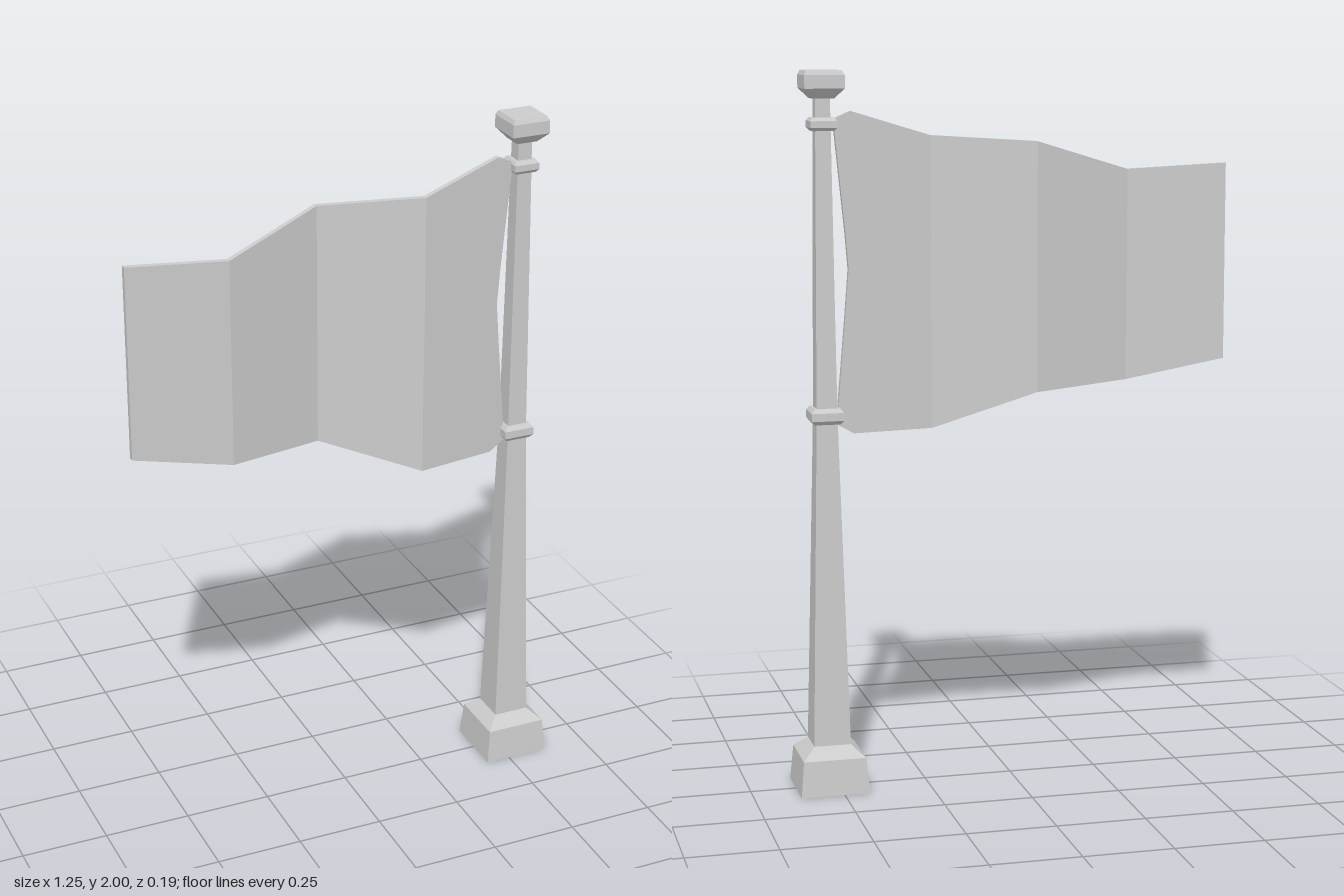
import * as THREE from 'three';

const POLE_X = 0.525;
const material = new THREE.MeshStandardMaterial({ color: 0xcccccc, flatShading: true });

// Square-section turned part: profile is a list of [half width, y], bottom to top
function squareLoft(name, profile) {
  const points = profile.map(([half, y]) => new THREE.Vector2(half * Math.SQRT2, y));
  const geometry = new THREE.LatheGeometry(points, 4);
  geometry.rotateY(Math.PI / 4);
  const mesh = new THREE.Mesh(geometry, material);
  mesh.name = name;
  mesh.position.x = POLE_X;
  return mesh;
}

// Bevelled band around the pole
function collar(name, y, half, height) {
  const h = height / 2;
  return squareLoft(name, [
    [half * 0.5, y - h], [half * 0.8, y - h], [half, y - h * 0.5],
    [half, y + h * 0.5], [half * 0.8, y + h], [half * 0.5, y + h],
  ]);
}

// Flat cloth panel, sheared in z so it runs from fold a to fold b
function clothPanel(name, outline, a, b) {
  const thickness = 0.017;
  const shape = new THREE.Shape(outline.map(([x, y]) => new THREE.Vector2(x, y)));
  const geometry = new THREE.ExtrudeGeometry(shape, { depth: thickness, bevelEnabled: false });
  const pos = geometry.attributes.position;
  for (let i = 0; i < pos.count; i++) {
    const t = (pos.getX(i) - a.x) / (b.x - a.x);
    pos.setZ(i, pos.getZ(i) - thickness / 2 + THREE.MathUtils.lerp(a.z, b.z, t));
  }
  geometry.computeVertexNormals();
  const mesh = new THREE.Mesh(geometry, material);
  mesh.name = name;
  return mesh;
}

export function createModel() {
  const model = new THREE.Group();
  model.name = 'flagOnPole';

  // Foot, tapering shaft and cap
  model.add(squareLoft('base', [[0, 0], [0.097, 0], [0.088, 0.1], [0.052, 0.132], [0, 0.132]]));
  model.add(squareLoft('pole', [[0.052, 0.13], [0.029, 1.06], [0.021, 1.86], [0.02, 1.94]]));
  model.add(squareLoft('cap', [
    [0, 1.925], [0.03, 1.925], [0.055, 1.952], [0.055, 1.988], [0.049, 2], [0, 2],
  ]));

  // Collars holding the cloth
  model.add(collar('upperCollar', 1.856, 0.037, 0.036));
  model.add(collar('lowerCollar', 1.06, 0.045, 0.044));

  // Zigzag cloth, folds listed from the free end to the pole
  const flag = new THREE.Group();
  flag.name = 'flag';
  const folds = [
    { x: -0.625, top: 1.735, bottom: 1.18, z: -0.006 },
    { x: -0.345, top: 1.72, bottom: 1.125, z: 0.024 },
    { x: -0.063, top: 1.805, bottom: 1.11, z: -0.054 },
    { x: 0.215, top: 1.82, bottom: 1.005, z: 0.044 },
  ];
  for (let i = 0; i < folds.length - 1; i++) {
    const a = folds[i], b = folds[i + 1];
    const outline = [[a.x, a.bottom], [b.x, b.bottom], [b.x, b.top], [a.x, a.top]];
    flag.add(clothPanel('clothPanel' + (i + 1), outline, a, b));
  }

  // Last panel has a sagging edge tied at both collars
  const last = folds[3];
  flag.add(clothPanel('hoistPanel', [
    [last.x, last.bottom], [0.445, 1.005], [0.505, 1.04], [0.49, 1.07],
    [0.466, 1.33], [0.455, 1.46], [0.463, 1.56], [0.492, 1.845],
    [0.505, 1.865], [0.445, 1.89], [last.x, last.top],
  ], last, { x: 0.505, z: 0 }));
  model.add(flag);

  return model;
}
